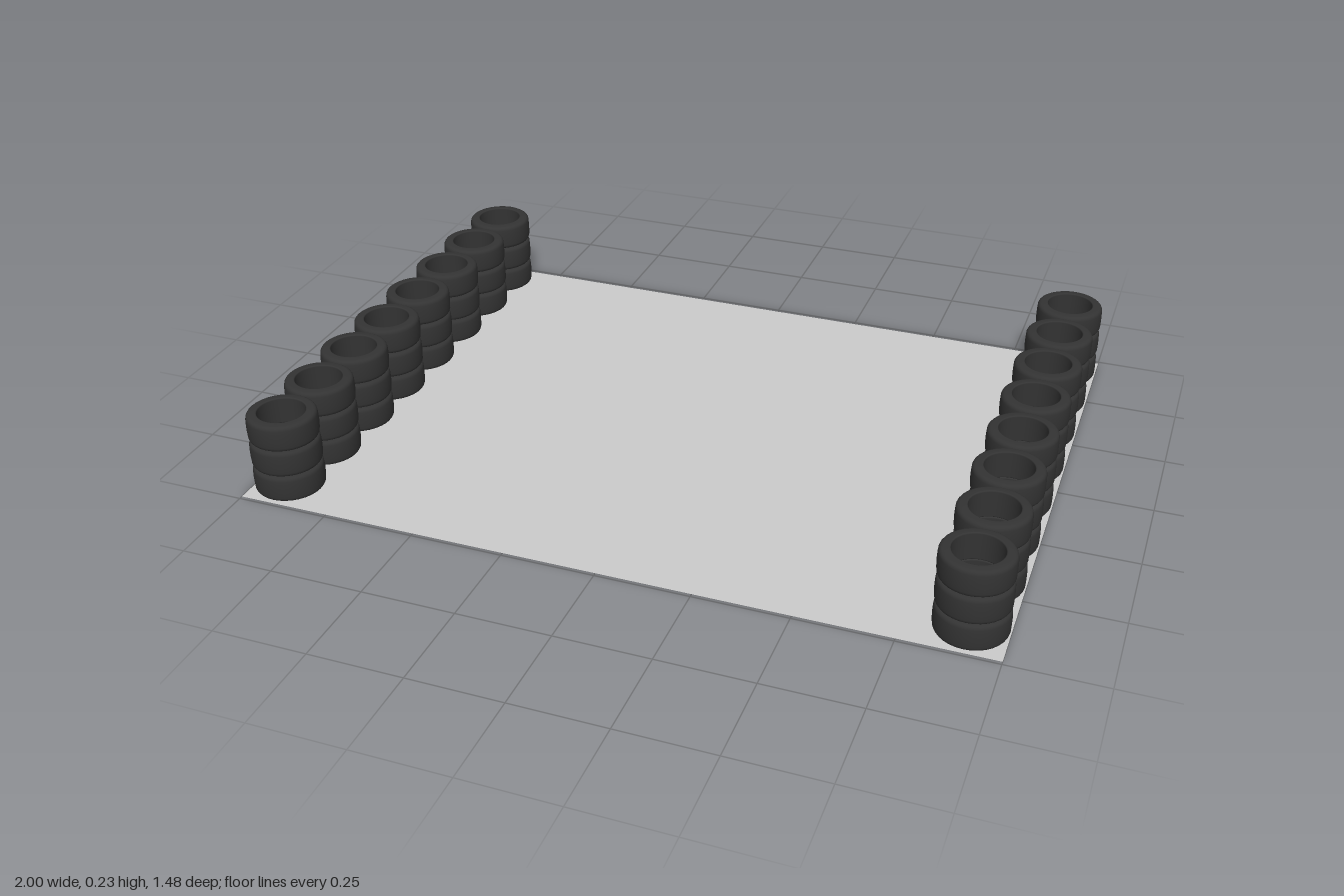
import * as THREE from 'three';

const RADIUS = 0.0925, BORE = 0.063, HEIGHT = 0.0755;
const ROWS = 8, LAYERS = 3, BASE_Y = 0.003;

// Ring cross-section: rounded outer shoulders, small inner bead
function tyreGeometry() {
  const shape = new THREE.Shape();
  const r = 0.013, b = 0.004;
  shape.moveTo(BORE + b, 0);
  shape.lineTo(RADIUS - r, 0.001);
  shape.quadraticCurveTo(RADIUS - 0.002, 0.002, RADIUS - 0.001, r);
  shape.quadraticCurveTo(RADIUS + 0.001, HEIGHT / 2, RADIUS - 0.001, HEIGHT - r);
  shape.quadraticCurveTo(RADIUS - 0.002, HEIGHT - 0.002, RADIUS - r, HEIGHT - 0.001);
  shape.lineTo(BORE + b, HEIGHT);
  shape.quadraticCurveTo(BORE, HEIGHT, BORE, HEIGHT - b);
  shape.lineTo(BORE, b);
  shape.quadraticCurveTo(BORE, 0, BORE + b, 0);
  return new THREE.LatheGeometry(shape.getPoints(4), 32);
}

export function createModel() {
  const model = new THREE.Group();
  model.name = 'tyreBarriers';

  // Flat ground sheet
  const groundGeometry = new THREE.PlaneGeometry(2, ROWS * RADIUS * 2);
  groundGeometry.rotateX(-Math.PI / 2);
  const ground = new THREE.Mesh(
    groundGeometry,
    new THREE.MeshStandardMaterial({ color: 0xcccccc, side: THREE.DoubleSide })
  );
  ground.name = 'groundSheet';
  model.add(ground);

  // A row of stacked tyres along each side
  const geometry = tyreGeometry();
  const rubber = new THREE.MeshStandardMaterial({ color: 0x333333 });
  for (const side of [-1, 1]) {
    const barrier = new THREE.Group();
    barrier.name = side > 0 ? 'leftBarrier' : 'rightBarrier';
    for (let i = 0; i < ROWS; i++) {
      const stack = new THREE.Group();
      stack.name = 'tyreStack';
      stack.position.set(side * (1 - RADIUS), BASE_Y, (i - (ROWS - 1) / 2) * RADIUS * 2);
      for (let j = 0; j < LAYERS; j++) {
        const tyre = new THREE.Mesh(geometry, rubber);
        tyre.name = 'tyre';
        tyre.position.y = j * HEIGHT;
        stack.add(tyre);
      }
      barrier.add(stack);
    }
    model.add(barrier);
  }
  return model;
}
